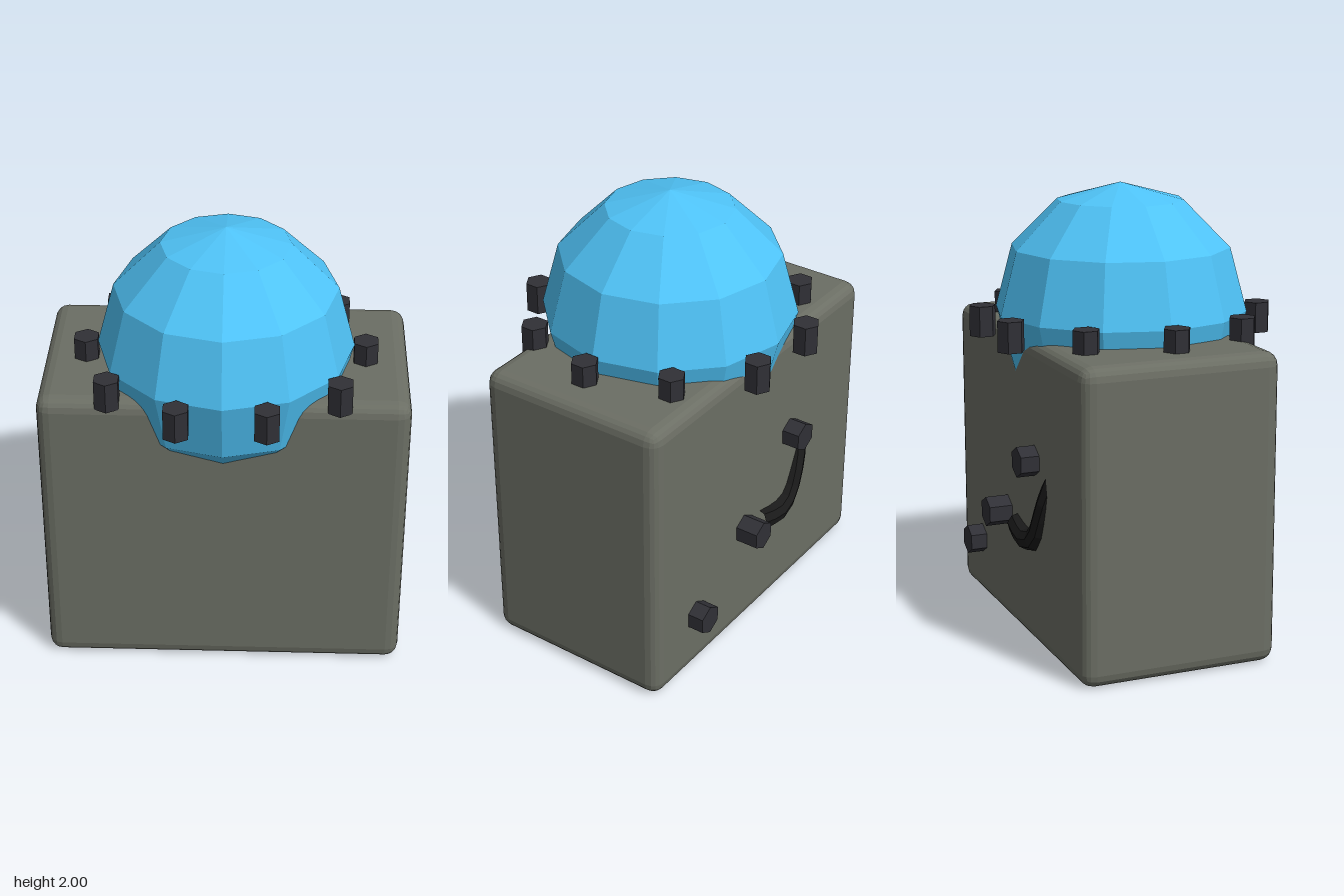
import * as THREE from 'three';
import { RoundedBoxGeometry } from 'three/addons/geometries/RoundedBoxGeometry.js';

const material = (color) => new THREE.MeshStandardMaterial({ color, flatShading: true });

export function createModel() {
  const model = new THREE.Group();
  const bodyMat = material(0x6b6e64);
  const domeMat = material(0x4fc3f7);
  const boltMat = material(0x303036);
  const cableMat = material(0x1a1a1a);

  const add = (name, geometry, mat, x, y, z, parent = model) => {
    const mesh = new THREE.Mesh(geometry, mat);
    mesh.name = name;
    mesh.position.set(x, y, z);
    parent.add(mesh);
    return mesh;
  };

  // Bevelled body, set slightly back
  add('body', new RoundedBoxGeometry(1.6, 1.365, 0.89, 2, 0.06), bodyMat, 0, 0.6825, -0.05);

  // Faceted dome sunk into the body
  add('dome', new THREE.SphereGeometry(0.56, 12, 6), domeMat, 0, 1.44, 0);

  // Ring of ten bolts around the dome
  const ring = new THREE.Group();
  ring.name = 'boltRing';
  model.add(ring);
  const boltGeo = new THREE.CylinderGeometry(0.06, 0.06, 0.135, 6);
  for (let i = 0; i < 10; i++) {
    const a = (i / 10) * Math.PI * 2;
    add('ringBolt', boltGeo, boltMat, Math.cos(a) * 0.61, 1.395, Math.sin(a) * 0.61, ring);
  }

  // Knobs on the back: x, y, outer z
  const knobGeo = new THREE.CylinderGeometry(0.068, 0.068, 0.14, 6);
  for (const [x, y, z] of [[0.5, 0.285, -0.57], [0.13, 0.53, -0.6], [-0.23, 0.85, -0.578]]) {
    add('backKnob', knobGeo, boltMat, x, y, z + 0.07).rotation.x = Math.PI / 2;
  }

  // Bent cable half sunk into the back
  const path = new THREE.CatmullRomCurve3([
    [-0.37, 0.82, -0.44], [-0.32, 0.67, -0.475], [-0.23, 0.5, -0.49],
    [-0.13, 0.47, -0.5], [0.01, 0.5, -0.49],
  ].map((p) => new THREE.Vector3(...p)));
  add('backCable', new THREE.TubeGeometry(path, 8, 0.05, 8), cableMat, 0, 0, 0);

  return model;
}
